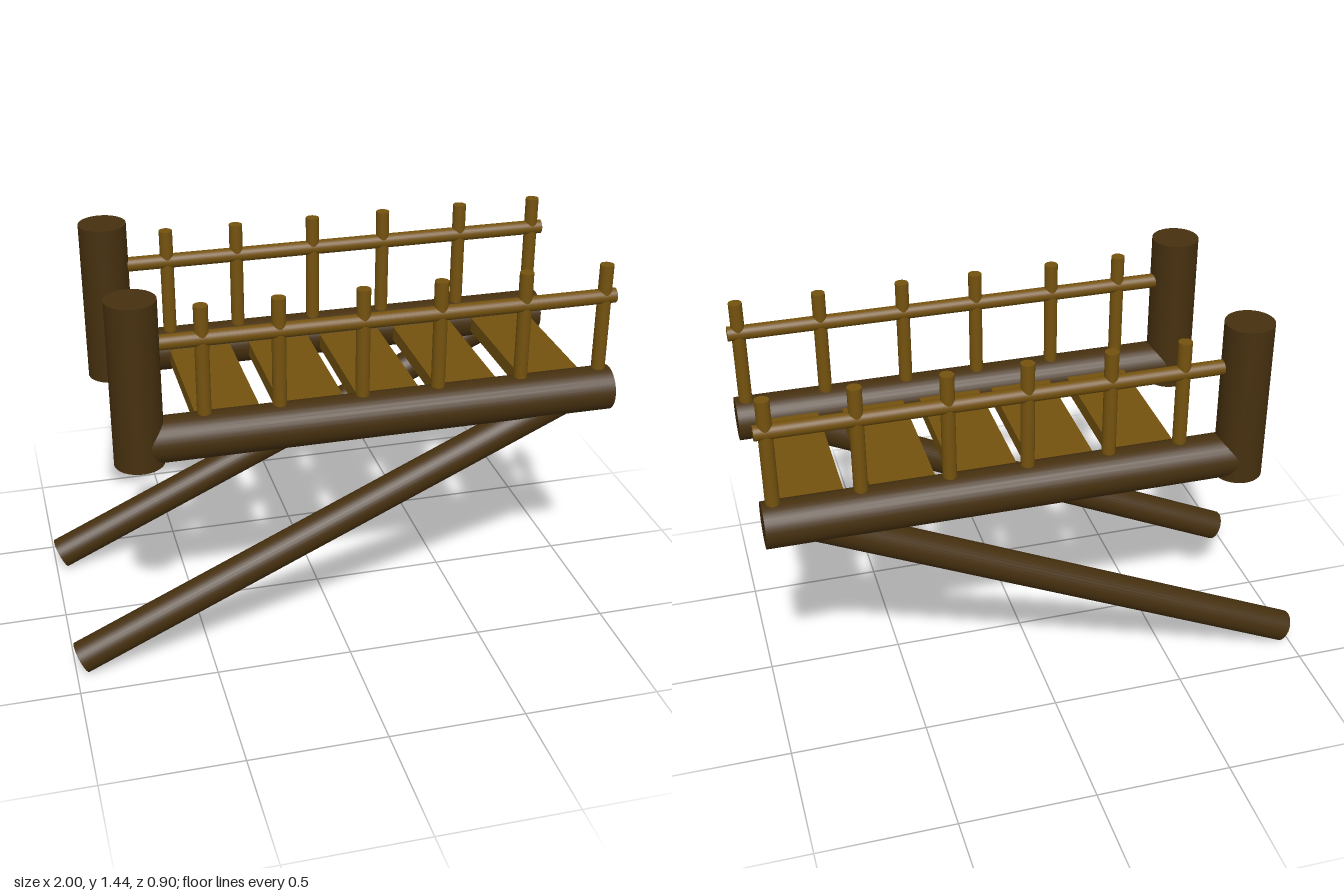
import * as THREE from 'three';

const darkWood = new THREE.MeshStandardMaterial({ color: 0x46300f });
const lightWood = new THREE.MeshStandardMaterial({ color: 0x74520e });

// Round log between two points
function log(name, from, to, radius, material) {
  const a = new THREE.Vector3(...from);
  const b = new THREE.Vector3(...to);
  const dir = b.clone().sub(a);
  const mesh = new THREE.Mesh(new THREE.CylinderGeometry(radius, radius, dir.length(), 32), material);
  mesh.position.copy(a).add(b).multiplyScalar(0.5);
  mesh.quaternion.setFromUnitVectors(new THREE.Vector3(0, 1, 0), dir.normalize());
  mesh.name = name;
  return mesh;
}

export function createModel() {
  const model = new THREE.Group();
  model.name = 'woodenBridge';

  // Both sides: post, beam, diagonal brace and railing
  for (const [side, z] of [['left', 0.363], ['right', -0.363]]) {
    const group = new THREE.Group();
    group.name = side === 'left' ? 'frontSide' : 'backSide';
    group.add(
      log('post', [-0.722, 0.84, z], [-0.722, 1.447, z], 0.088, darkWood),
      log('beam', [-0.69, 0.92, z], [1, 0.92, z], 0.082, darkWood),
      log('brace', [-0.977, 0.06, z * 0.995], [0.86, 0.91, z * 0.995], 0.06, darkWood),
      log('handrail', [-0.7, 1.28, z * 0.985], [1, 1.28, z * 0.985], 0.027, lightWood)
    );
    for (const x of [-0.49, -0.225, 0.072, 0.35, 0.66, 0.96]) {
      group.add(log('baluster', [x, 0.93, z * 0.985], [x, 1.4, z * 0.985], 0.025, lightWood));
    }
    model.add(group);
  }

  // Deck planks with their ends set into the beams
  for (const [x0, x1] of [[-0.505, -0.273], [-0.2, 0.034], [0.083, 0.316], [0.38, 0.613], [0.705, 0.936]]) {
    const plank = new THREE.Mesh(new THREE.BoxGeometry(x1 - x0, 0.056, 0.7), lightWood);
    plank.position.set((x0 + x1) / 2, 0.918, 0);
    plank.name = 'plank';
    model.add(plank);
  }
  return model;
}
